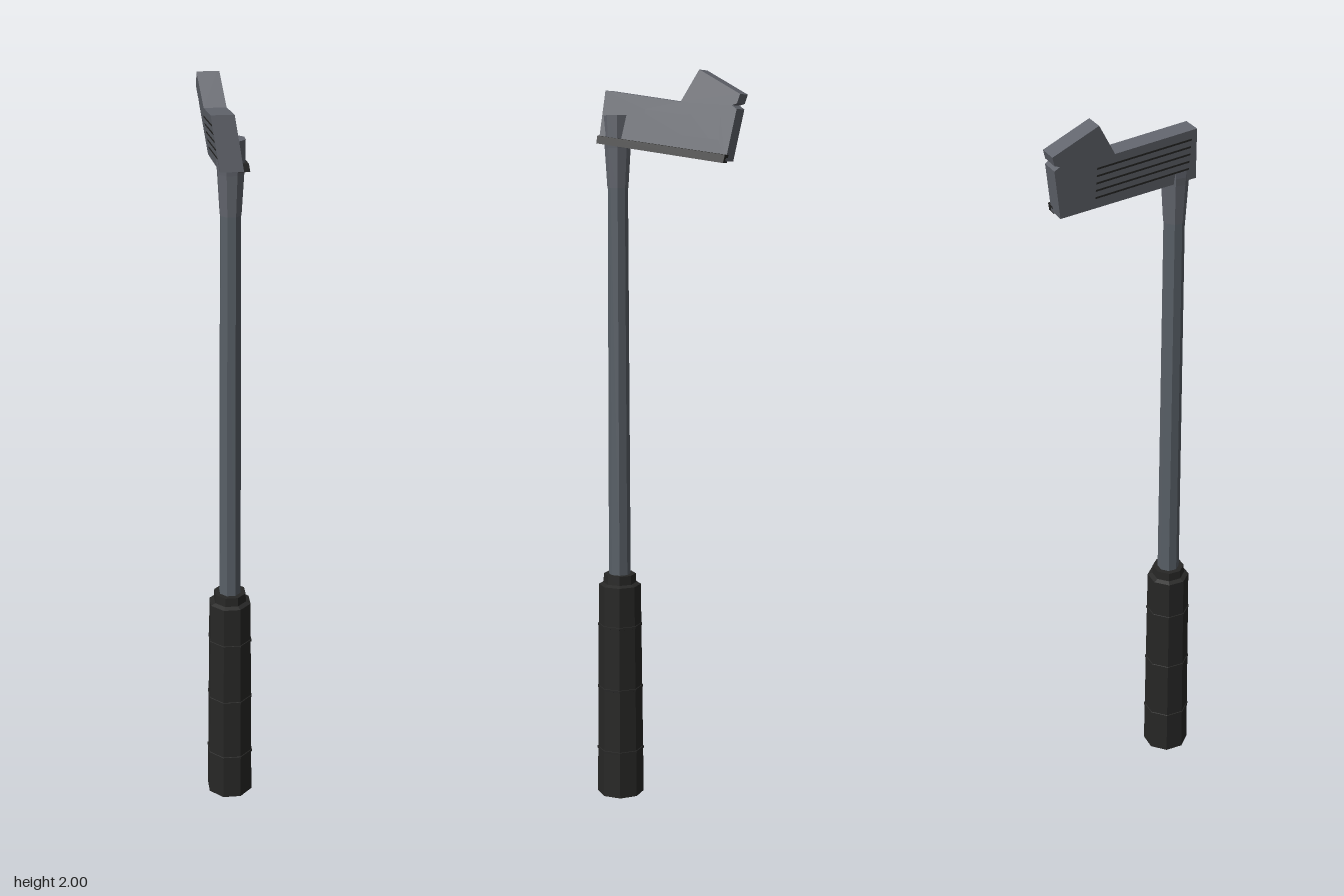
import * as THREE from 'three';

const AXIS_Z = 0.145; // shaft axis
const OCT = Math.cos(Math.PI / 8);

export function createModel() {
  const group = new THREE.Group();
  const mat = (name, color) => {
    const m = new THREE.MeshStandardMaterial({ color, flatShading: true });
    m.name = name;
    return m;
  };
  const steel = mat('head steel', 0x62656d);
  const shaftMetal = mat('shaft metal', 0x596067);
  const rubber = mat('dark rubber', 0x272726);

  const add = (name, geometry, material) => {
    const mesh = new THREE.Mesh(geometry, material);
    mesh.name = name;
    group.add(mesh);
    return mesh;
  };

  // Eight-sided turned part; radii are measured to the flats
  const turned = (name, profile, material) => {
    const pts = profile.map(([r, y]) => new THREE.Vector2(r / OCT, y));
    const mesh = add(name, new THREE.LatheGeometry(pts, 8, Math.PI / 8), material);
    mesh.position.z = AXIS_Z;
  };

  // Leaning slab: outline in (z, y), from x offset x0 to x1 off the striking face
  const slab = (name, outline, x0, x1, material, hole) => {
    const toPts = (list) => list.map(([z, y]) => new THREE.Vector2(-z, y));
    const shape = new THREE.Shape(toPts(outline));
    if (hole) shape.holes.push(new THREE.Path(toPts(hole)));
    const geo = new THREE.ExtrudeGeometry(shape, { depth: x1 - x0, bevelEnabled: false });
    geo.rotateY(Math.PI / 2);
    const p = geo.attributes.position;
    for (let i = 0; i < p.count; i++) {
      p.setX(i, p.getX(i) + x0 - 0.06 + 0.16 * (2 - p.getY(i)));
    }
    geo.computeVertexNormals();
    add(name, geo, material);
  };

  // Grip, with its collar and raised rings
  turned('grip', [[0, 0], [0.06, 0], [0.054, 0.605], [0.042, 0.61], [0.041, 0.635], [0, 0.635]], rubber);
  for (const y of [0.13, 0.31, 0.49]) {
    const r = 0.06 - 0.01 * y;
    turned('gripRing', [[r - 0.006, y - 0.006], [r + 0.002, y - 0.003], [r + 0.002, y + 0.003], [r - 0.006, y + 0.006]], rubber);
  }

  // Shaft and hosel
  turned('shaft', [[0.028, 0.62], [0.025, 1.72]], shaftMetal);
  turned('hosel', [[0, 1.695], [0.026, 1.695], [0.032, 1.8], [0.034, 1.82], [0.035, 1.885], [0, 1.885]], steel);

  // Head: solid front layer, and a back layer with a shallow cavity
  const outline = [
    [0.188, 1.813], [0.177, 1.95], [-0.04, 1.918], [-0.087, 2.0], [-0.204, 1.936],
    [-0.197, 1.912], [-0.183, 1.908], [-0.197, 1.898], [-0.175, 1.765],
  ];
  const cavity = [[0.06, 1.845], [0.06, 1.9], [-0.05, 1.885], [-0.152, 1.892], [-0.152, 1.82]];
  slab('headBody', outline, 0, 0.052, steel);
  slab('headBack', outline, 0.052, 0.058, steel, cavity);

  // Sole flange along the lower back edge
  slab('soleFlange', [[0.188, 1.812], [0.186, 1.832], [-0.178, 1.782], [-0.174, 1.761]], 0.045, 0.073, rubber);

  // Grooves on the striking face
  const drop = (z) => 0.145 * (z - 0.18);
  for (let i = 0; i < 5; i++) {
    const y = 1.842 + i * 0.02;
    const [a, b] = [0.165, -0.085];
    slab('groove', [
      [a, y + drop(a)], [a, y + 0.005 + drop(a)], [b, y + 0.005 + drop(b)], [b, y + drop(b)],
    ], -0.001, 0.002, rubber);
  }
  return group;
}
